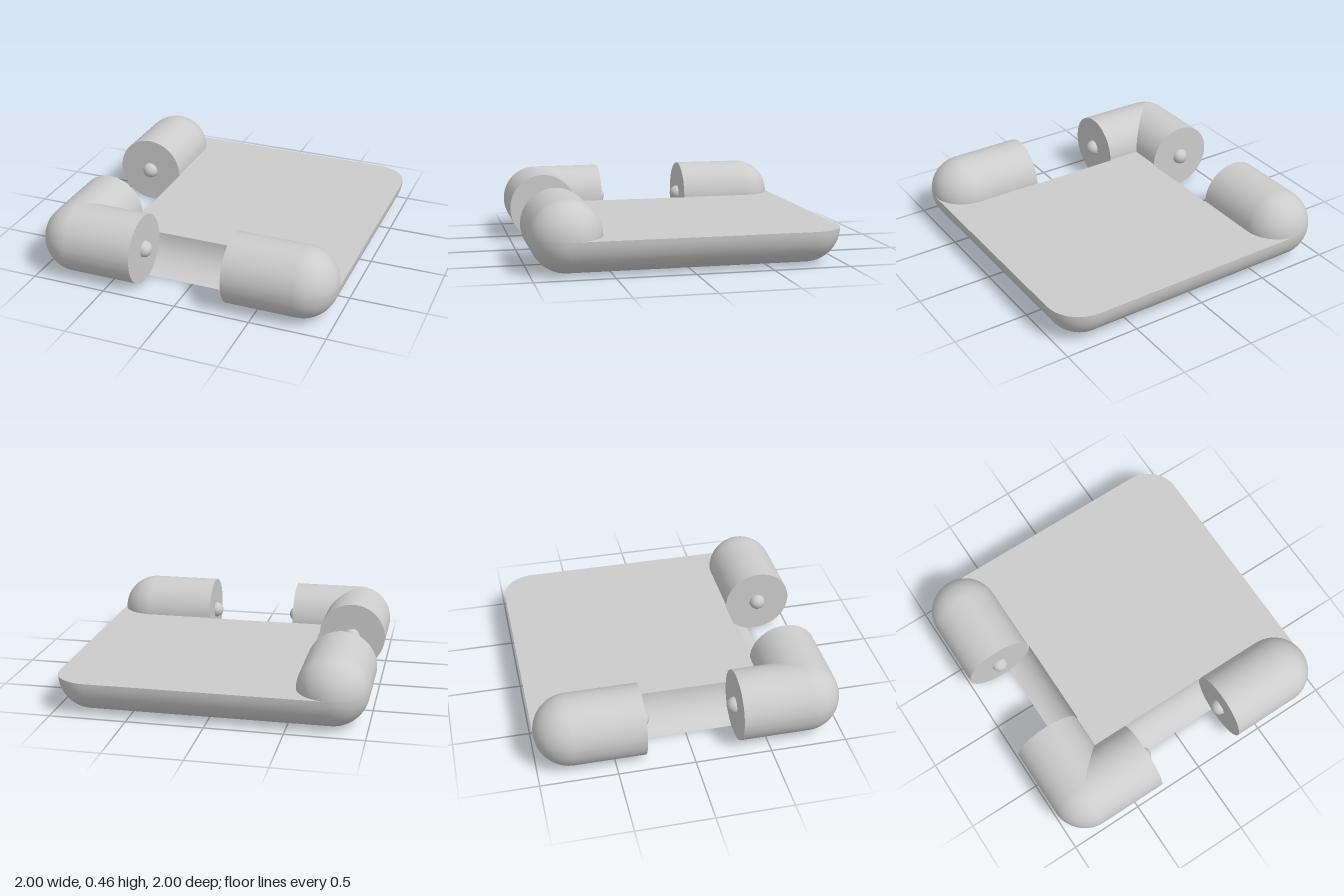
import * as THREE from 'three';
import { toCreasedNormals } from 'three/addons/utils/BufferGeometryUtils.js';

const R = 0.23;      // radius of rounded edges and rails
const E = 1 - R;     // distance of the rail axes from the centre
const C = 0.2375;    // radius of the concave notch cut
const N = 0.31;      // half length of each notch
const SEG = 14;

const material = new THREE.MeshStandardMaterial({ color: 0xcccccc });

function addMesh(parent, name, geometry, x = 0, y = 0, z = 0) {
  const mesh = new THREE.Mesh(geometry, material);
  mesh.name = name;
  mesh.position.set(x, y, z);
  parent.add(mesh);
  return mesh;
}

// Outline of the slab at one height, with notches on the front and right edges
function slabRing(a) {
  const y = R * (1 - Math.cos(a));
  const off = R * Math.sin(a);
  const outer = E + off;
  const inner = E - Math.sqrt(C * C - (R - y) ** 2);
  const ring = [];
  const corner = (sx, sz, start) => {
    for (let i = 0; i <= SEG; i++) {
      const t = start + (i / SEG) * Math.PI / 2;
      ring.push(new THREE.Vector3(sx * E + off * Math.cos(t), y, sz * E + off * Math.sin(t)));
    }
  };
  const notch = [[N, outer], [N, inner], [-N, inner], [-N, outer]];
  corner(1, 1, 0);
  notch.forEach(([u, d]) => ring.push(new THREE.Vector3(u, y, d)));
  corner(-1, 1, Math.PI / 2);
  notch.forEach(([u, d]) => ring.push(new THREE.Vector3(-d, y, u)));
  corner(-1, -1, Math.PI);
  corner(1, -1, Math.PI * 1.5);
  return ring;
}

function slabGeometry() {
  const pos = [];
  const cross = (a, b, c) => b.clone().sub(a).cross(c.clone().sub(a));
  const tri = (a, b, c) => {
    if (cross(a, b, c).length() < 1e-9) return;
    for (const p of [a, b, c]) pos.push(p.x, p.y, p.z);
  };
  const rings = [];
  for (let i = 0; i <= SEG; i++) rings.push(slabRing((i / SEG) * Math.PI / 2));

  // Rounded underside edges and notch walls
  for (let k = 0; k < SEG; k++) {
    const lo = rings[k], up = rings[k + 1];
    for (let i = 0; i < lo.length; i++) {
      const j = (i + 1) % lo.length;
      tri(lo[i], up[i], up[j]);
      tri(lo[i], up[j], lo[j]);
    }
  }
  // Flat bottom and top
  for (const [ring, dir] of [[rings[0], -1], [rings[SEG], 1]]) {
    // drop repeated points
    const pts = ring.filter((p, i) => p.distanceTo(ring[(i + 1) % ring.length]) > 1e-6);
    const flat = pts.map((p) => new THREE.Vector2(p.x, p.z));
    for (const [a, b, c] of THREE.ShapeUtils.triangulateShape(flat, [])) {
      const up = cross(pts[a], pts[b], pts[c]).y * dir > 0;
      if (up) tri(pts[a], pts[b], pts[c]);
      else tri(pts[a], pts[c], pts[b]);
    }
  }
  const g = new THREE.BufferGeometry();
  g.setAttribute('position', new THREE.Float32BufferAttribute(pos, 3));
  return toCreasedNormals(g, Math.PI / 6);
}

// Two half-round rails along x on the front edge, with peg balls facing the gap
function rails(name, domeSides) {
  const group = new THREE.Group();
  group.name = name;
  const half = new THREE.CylinderGeometry(R, R, E - N, SEG * 2, 1, false, 0, Math.PI);
  half.rotateZ(Math.PI / 2);
  const dome = new THREE.SphereGeometry(R, SEG * 4, SEG, 0, Math.PI * 2, 0, Math.PI / 2);
  const ball = new THREE.SphereGeometry(0.055, 24, 16);
  for (const s of [-1, 1]) {
    addMesh(group, 'rail', half, s * (E + N) / 2, R, E);
    addMesh(group, 'connectorBall', ball, s * N, R, E);
    if (domeSides.includes(s)) addMesh(group, 'railDome', dome, s * E, R, E);
  }
  return group;
}

export function createModel() {
  const model = new THREE.Group();
  model.name = 'connectorTile';
  addMesh(model, 'baseSlab', slabGeometry());
  model.add(rails('frontRails', [-1, 1]));
  // The side rails meet the front rails in a mitred corner
  const side = rails('rightRails', [-1]);
  side.rotation.y = -Math.PI / 2;
  model.add(side);
  return model;
}
